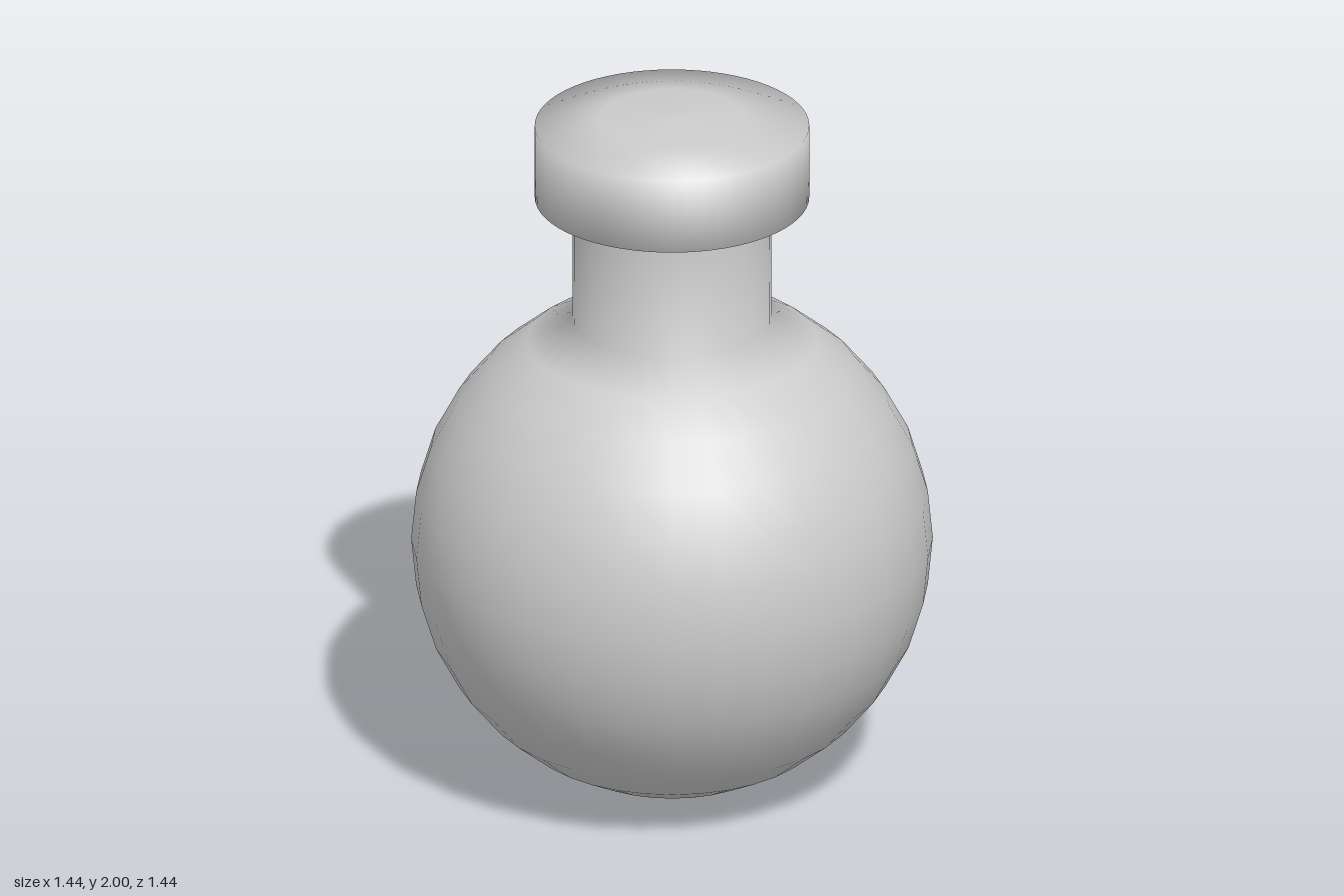
import * as THREE from 'three';

const material = new THREE.MeshStandardMaterial({ color: 0xcccccc, side: THREE.DoubleSide });

// Spin a bottom-to-top profile around the y axis
function lathe(name, profile, segments) {
  const points = profile.map(([x, y]) => new THREE.Vector2(x, y));
  const mesh = new THREE.Mesh(new THREE.LatheGeometry(points, segments), material);
  mesh.name = name;
  return mesh;
}

export function createModel() {
  const group = new THREE.Group();
  group.name = 'roundFlask';

  // Round body, left open where the neck begins
  const radius = 0.718, centreY = 0.722;
  const flask = [];
  for (let i = 0; i <= 14; i++) {
    const a = (i / 16) * Math.PI;
    flask.push([radius * Math.sin(a), centreY - radius * Math.cos(a)]);
  }
  // Straight neck with a softened top edge
  flask.push([0.273, 1.7], [0.26, 1.73]);
  group.add(lathe('bodyAndNeck', flask, 32));

  // Wide stopper with a gently domed top and sloping underside
  group.add(lathe('stopper', [
    [0, 1.72], [0.25, 1.728], [0.378, 1.75], [0.378, 1.965], [0.2, 1.986], [0, 2],
  ], 64));

  return group;
}
